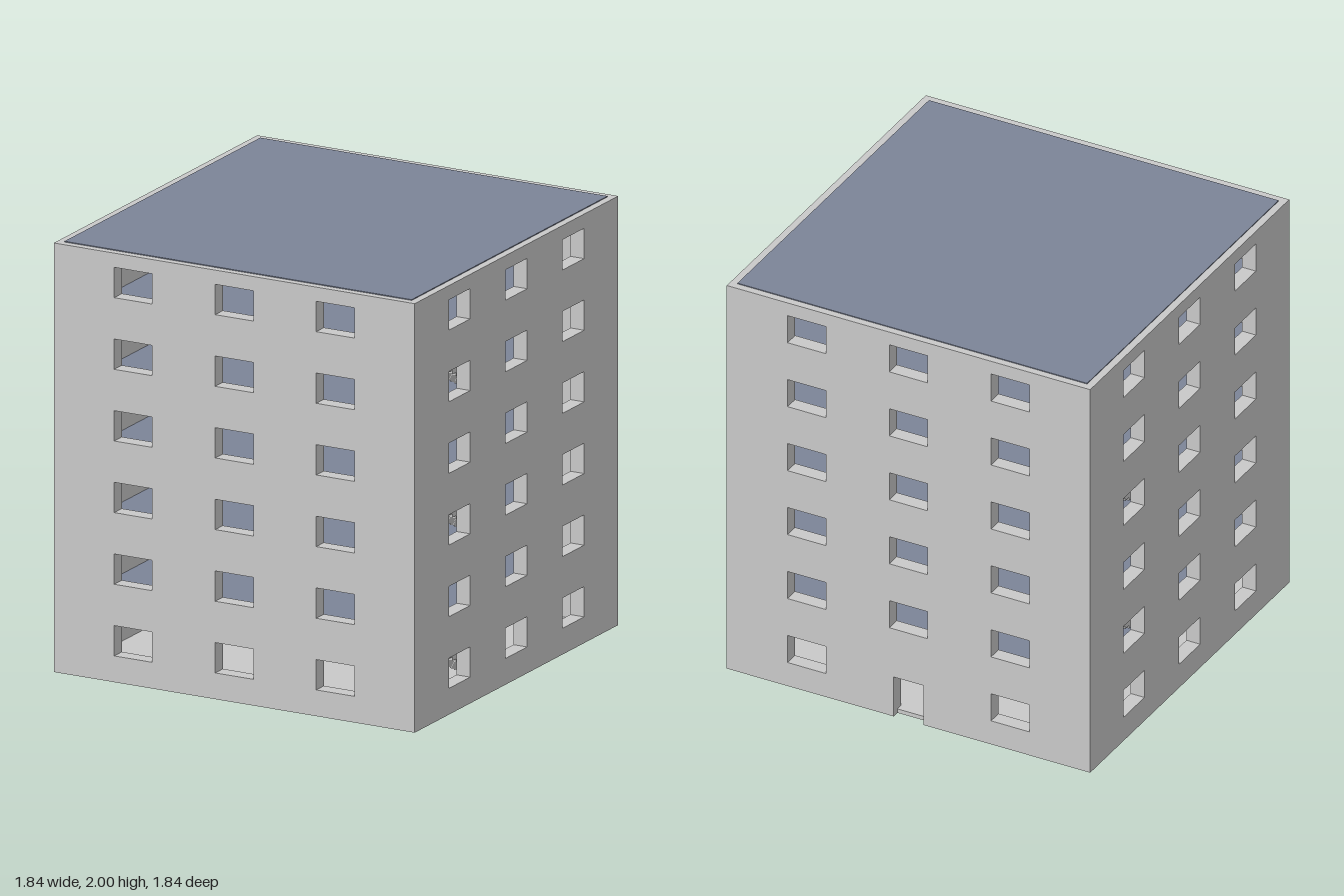
import * as THREE from 'three';

const HALF = 0.92, WALL = 0.07, STOREY = 1 / 3, STOREYS = 6, HEIGHT = 1.996;
const grey = new THREE.MeshStandardMaterial({ color: 0xcccccc });
const blue = new THREE.MeshStandardMaterial({ color: 0x7e869a });
const tan = new THREE.MeshStandardMaterial({ color: 0xb9ab7c });

function rect(path, x0, y0, x1, y1) {
  path.moveTo(x0, y0);
  path.lineTo(x1, y0);
  path.lineTo(x1, y1);
  path.lineTo(x0, y1);
  path.closePath();
  return path;
}

function box(name, material, size, position) {
  const mesh = new THREE.Mesh(new THREE.BoxGeometry(...size), material);
  mesh.name = name;
  mesh.position.set(...position);
  return mesh;
}

// Outer wall with three windows per storey, optionally with a doorway
function wall(name, half, hasDoor) {
  const shape = new THREE.Shape();
  shape.moveTo(-half, 0);
  if (hasDoor) {
    shape.lineTo(-0.075, 0);
    shape.lineTo(-0.075, 0.205);
    shape.lineTo(0.075, 0.205);
    shape.lineTo(0.075, 0);
  }
  shape.lineTo(half, 0);
  shape.lineTo(half, HEIGHT);
  shape.lineTo(-half, HEIGHT);
  shape.closePath();
  for (let row = 0; row < STOREYS; row++) {
    for (const x of [-0.515, 0, 0.515]) {
      if (hasDoor && row === 0 && x === 0) continue;
      const y = row * STOREY + 0.122;
      shape.holes.push(rect(new THREE.Path(), x - 0.097, y, x + 0.097, y + 0.141));
    }
  }
  const geometry = new THREE.ExtrudeGeometry(shape, { depth: WALL, bevelEnabled: false });
  geometry.translate(0, 0, HALF - WALL);
  const mesh = new THREE.Mesh(geometry, grey);
  mesh.name = name;
  return mesh;
}

// Floor plate reaching halfway into the walls, with an optional stairwell
function slab(name, material, top, hole) {
  const r = HALF - WALL / 2;
  const shape = rect(new THREE.Shape(), -r, -r, r, r);
  if (hole) shape.holes.push(rect(new THREE.Path(), ...hole));
  const geometry = new THREE.ExtrudeGeometry(shape, { depth: 0.02, bevelEnabled: false });
  geometry.rotateX(Math.PI / 2);
  const mesh = new THREE.Mesh(geometry, material);
  mesh.name = name;
  mesh.position.y = top;
  return mesh;
}

// Straight flight of overlapping block steps
function stairs(x, z0, dir, y0) {
  const flight = new THREE.Group();
  flight.name = 'stairFlight';
  const count = 20, rise = STOREY / 19;
  for (let i = 0; i < count; i++) {
    flight.add(box('step', grey, [0.15, 0.026, 0.07], [x, y0 + 0.009 + i * rise, z0 + dir * i * 0.035]));
  }
  return flight;
}

export function createModel() {
  const model = new THREE.Group();
  model.name = 'building';

  // Shell
  const inner = HALF - WALL;
  const right = wall('rightWall', inner, false);
  const left = wall('leftWall', inner, false);
  const back = wall('backWall', HALF, true);
  right.rotation.y = -Math.PI / 2;
  left.rotation.y = Math.PI / 2;
  back.rotation.y = Math.PI;
  model.add(wall('frontWall', HALF, false), back, left, right);

  // Floors, roof and the flights that climb through them on alternating sides
  model.add(slab('groundFloor', grey, 0.02));
  for (let i = 1; i < STOREYS; i++) {
    const odd = i % 2 === 1;
    const hole = odd ? [0.66, 0, 0.81, 0.7] : [-0.81, -0.84, -0.66, -0.15];
    model.add(slab('floor', blue, i * STOREY, hole));
    model.add(odd
      ? stairs(0.735, 0, 1, (i - 1) * STOREY)
      : stairs(-0.735, -0.15, -1, (i - 1) * STOREY));
  }
  model.add(slab('roof', blue, 2));

  // Columns on the second storey
  const clear = STOREY - 0.02, c = 0.445;
  for (const [x, z] of [[-c, -c], [-c, c], [0, 0], [c, -c], [c, c]]) {
    model.add(box('column', x > 0 ? tan : blue, [WALL, clear, WALL], [x, STOREY + clear / 2, z]));
  }

  // L-shaped partitions on the third and top storeys
  for (const level of [2, 5]) {
    const y = level * STOREY + clear / 2;
    model.add(box('backPartition', blue, [2 * c, clear, WALL], [0, y, -c]));
    model.add(box('sidePartition', tan, [WALL, clear, 2 * c], [c, y, 0]));
  }
  return model;
}
